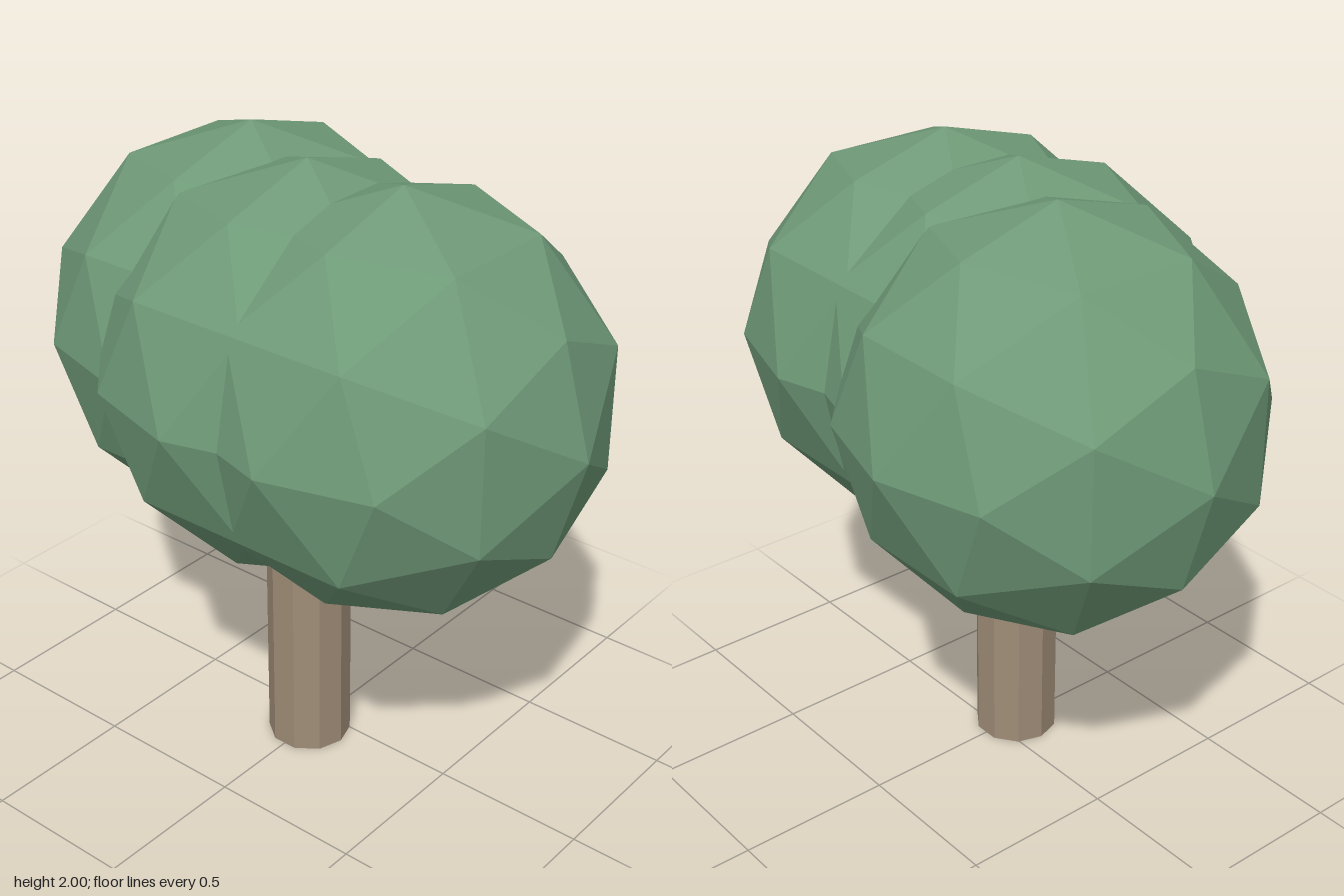
import * as THREE from 'three';

export function createModel() {
  const tree = new THREE.Group();
  tree.name = 'tree';

  const foliage = new THREE.MeshStandardMaterial({ color: 0x6f9a78, flatShading: true });
  foliage.name = 'leaf green';
  const bark = new THREE.MeshStandardMaterial({ color: 0x9f8c77, flatShading: true });
  bark.name = 'bark brown';

  // Ten-sided trunk, with its top hidden inside the crown
  const trunkHeight = 1.1;
  const trunkShape = new THREE.CylinderGeometry(0.135, 0.135, trunkHeight, 10);
  trunkShape.rotateY(Math.PI / 2);
  const trunk = new THREE.Mesh(trunkShape, bark);
  trunk.name = 'trunk';
  trunk.position.set(0, trunkHeight / 2, 0.076);
  tree.add(trunk);

  // Crown of three overlapping faceted balls, one set further back
  const ball = new THREE.IcosahedronGeometry(0.645, 1);
  ball.rotateY(Math.PI / 2);
  const clumps = [
    ['crownLeft', 0.345, 0.075],
    ['crownMiddle', 0, 0.075],
    ['crownRight', -0.345, -0.075],
  ];
  for (const [name, x, z] of clumps) {
    const clump = new THREE.Mesh(ball, foliage);
    clump.name = name;
    clump.position.set(x, 1.355, z);
    tree.add(clump);
  }

  return tree;
}
